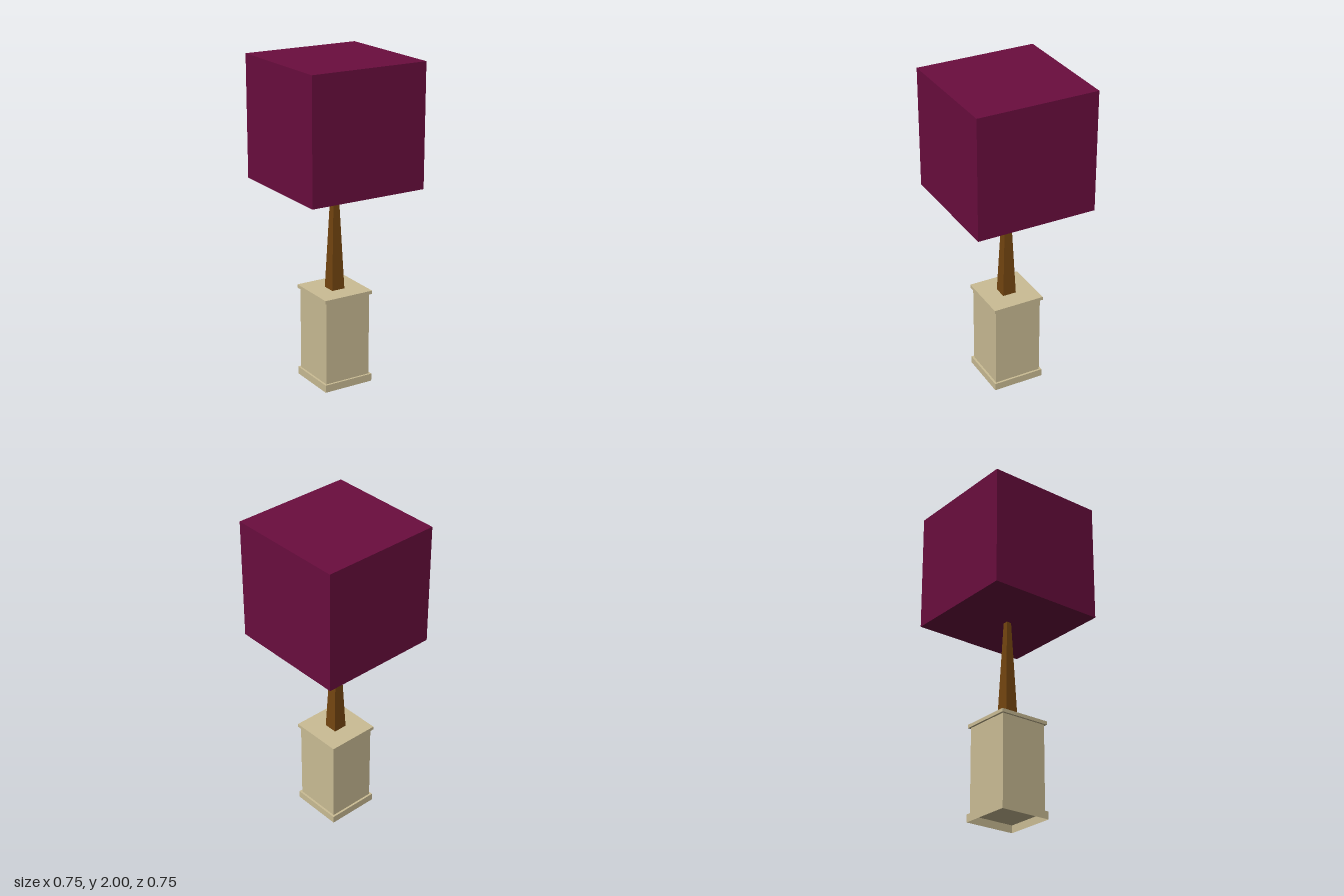
import * as THREE from 'three';

const material = (color, side = THREE.FrontSide) =>
  new THREE.MeshStandardMaterial({ color, side, flatShading: true });

// Square prism or frustum between two heights, given its half-widths
function squarePart(name, mat, bottomHalf, topHalf, y0, y1, open = false) {
  const geometry = new THREE.CylinderGeometry(
    topHalf * Math.SQRT2, bottomHalf * Math.SQRT2, y1 - y0, 4, 1, open);
  geometry.rotateY(Math.PI / 4);
  geometry.translate(0, (y0 + y1) / 2, 0);
  const mesh = new THREE.Mesh(geometry, mat);
  mesh.name = name;
  return mesh;
}

export function createModel() {
  const model = new THREE.Group();
  model.name = 'topiaryTree';

  const stone = material(0xcbbd95, THREE.DoubleSide);
  const bark = material(0x734510);
  const leaves = material(0x6a0d3e);

  // Planter: hollow plinth skirt, body and projecting lid
  const planter = new THREE.Group();
  planter.name = 'planter';
  const ledge = new THREE.Mesh(new THREE.PlaneGeometry(0.328, 0.328).rotateX(-Math.PI / 2), stone);
  ledge.name = 'plinthLedge';
  ledge.position.y = 0.047;
  planter.add(
    squarePart('plinthSkirt', stone, 0.164, 0.164, 0, 0.047, true),
    ledge,
    squarePart('planterBody', stone, 0.151, 0.151, 0.047, 0.572, true),
    squarePart('planterLid', stone, 0.164, 0.164, 0.572, 0.593),
  );

  // Tapered trunk carrying the clipped cube of foliage
  model.add(
    planter,
    squarePart('trunk', bark, 0.043, 0.016, 0.593, 1.243),
    squarePart('foliageCube', leaves, 0.375, 0.375, 1.25, 2),
  );
  return model;
}
